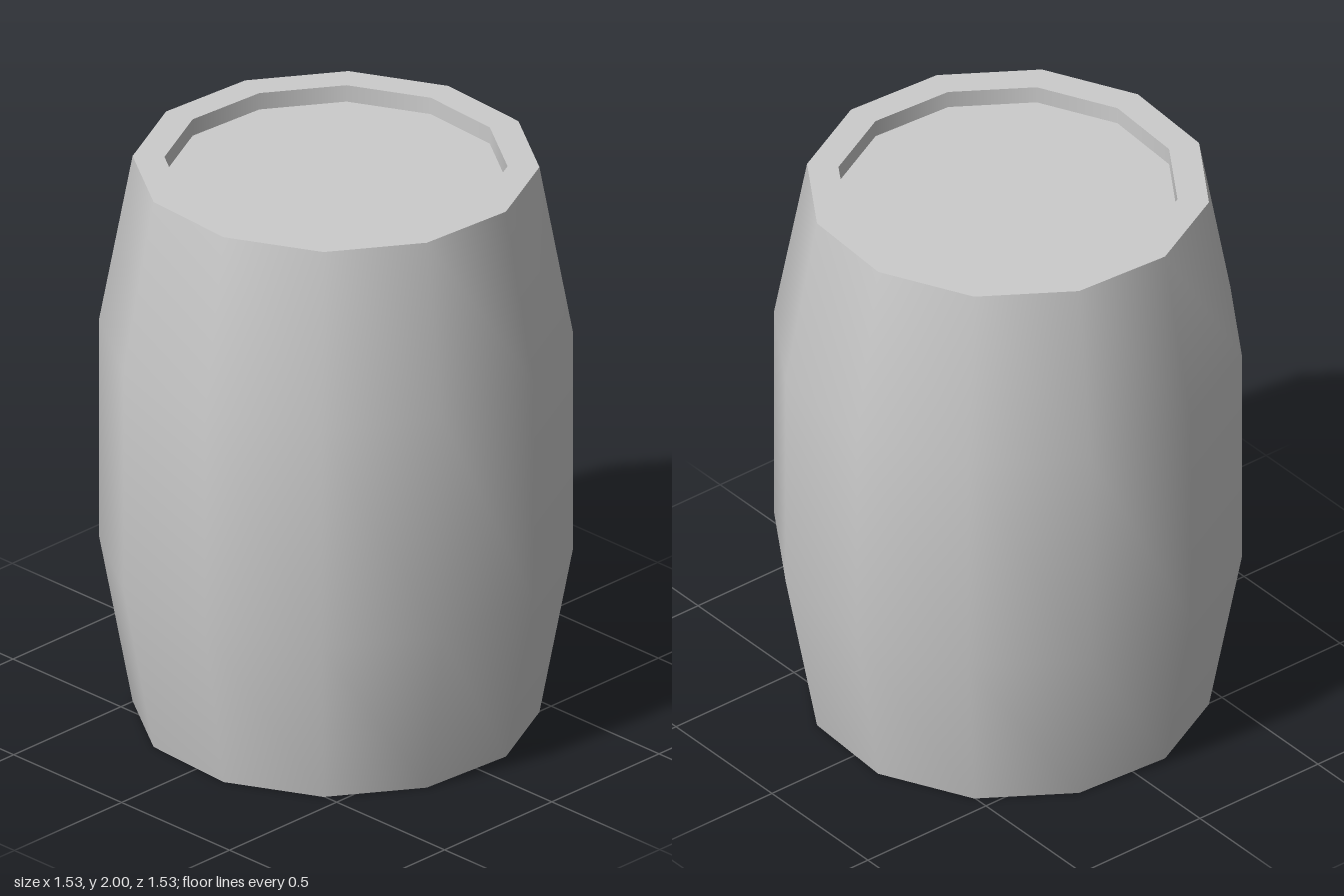
import * as THREE from 'three';

const SIDES = 12;
const TURN = THREE.MathUtils.degToRad(11.3); // slight twist of the twelve-sided body

export function createModel() {
  const barrel = new THREE.Group();
  barrel.name = 'barrel';
  const material = new THREE.MeshStandardMaterial({ color: 0xcccccc });

  // each part turns its own [radius, height] profile, so creases stay sharp between parts
  const addPart = (name, profile) => {
    const points = profile.map(([r, y]) => new THREE.Vector2(r, y));
    const mesh = new THREE.Mesh(new THREE.LatheGeometry(points, SIDES, TURN), material);
    mesh.name = name;
    barrel.add(mesh);
  };

  const endR = 0.67, bellyR = 0.78, lidR = 0.565;
  const top = 2, lidY = 1.94;

  addPart('base', [[0, 0], [endR, 0]]);
  addPart('staves', [[endR, 0], [bellyR, 0.6], [bellyR, 1.4], [endR, top]]);
  addPart('rim', [[endR, top], [lidR, top]]);
  addPart('rimInnerWall', [[lidR, top], [lidR, lidY]]);
  addPart('lid', [[lidR, lidY], [0, lidY]]);

  return barrel;
}
